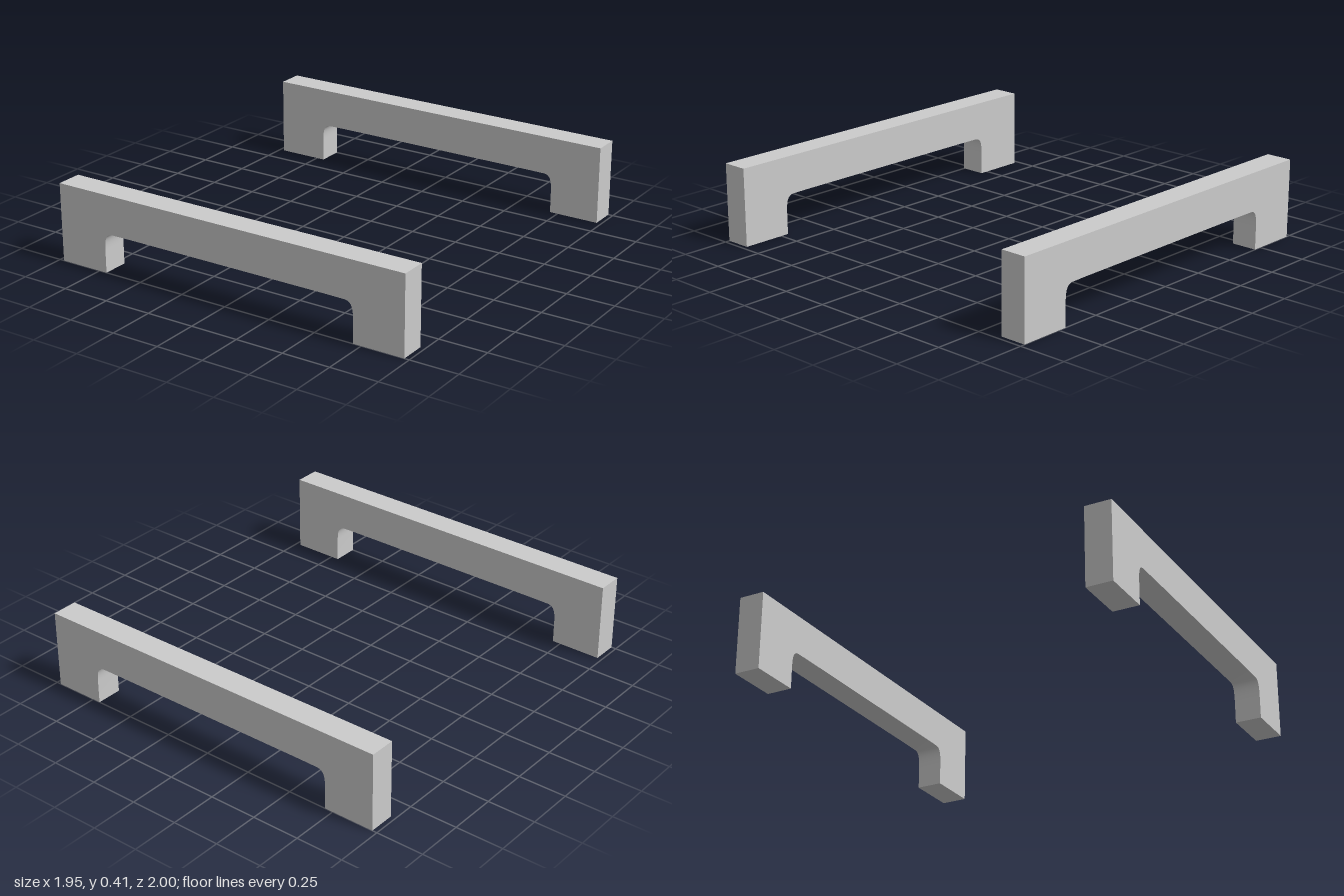
import * as THREE from 'three';
import { toCreasedNormals } from 'three/addons/utils/BufferGeometryUtils.js';

const HALF_WIDTH = 0.975, HEIGHT = 0.405, DEPTH = 0.135;
const OPENING = 0.707, SOFFIT = 0.206; // half width and height of the cut-out

// Bar with two feet and a cut-out whose upper corners are rounded
function bracketGeometry() {
  const s = new THREE.Shape();
  s.moveTo(-HALF_WIDTH, 0);
  s.lineTo(-OPENING, 0);
  s.lineTo(-OPENING, 0.12);
  s.bezierCurveTo(-OPENING, 0.175, -0.698, 0.204, -0.66, SOFFIT - 0.001);
  s.lineTo(-0.55, SOFFIT);
  s.lineTo(0.55, SOFFIT);
  s.lineTo(0.66, SOFFIT - 0.001);
  s.bezierCurveTo(0.698, 0.204, OPENING, 0.175, OPENING, 0.12);
  s.lineTo(OPENING, 0);
  s.lineTo(HALF_WIDTH, 0);
  s.lineTo(HALF_WIDTH, HEIGHT);
  s.lineTo(-HALF_WIDTH, HEIGHT);
  s.closePath();
  const g = new THREE.ExtrudeGeometry(s, { depth: DEPTH, bevelEnabled: false, curveSegments: 10 });
  g.translate(0, 0, -DEPTH / 2);
  return toCreasedNormals(g, Math.PI / 6);
}

export function createModel() {
  const group = new THREE.Group();
  group.name = 'bracketPair';
  const material = new THREE.MeshStandardMaterial({ color: 0xcccccc });
  const geometry = bracketGeometry();

  // Matching brackets at the front and back
  for (const [name, side] of [['frontBracket', 1], ['backBracket', -1]]) {
    const bracket = new THREE.Mesh(geometry, material);
    bracket.name = name;
    bracket.position.z = side * (1 - DEPTH / 2);
    group.add(bracket);
  }
  return group;
}
